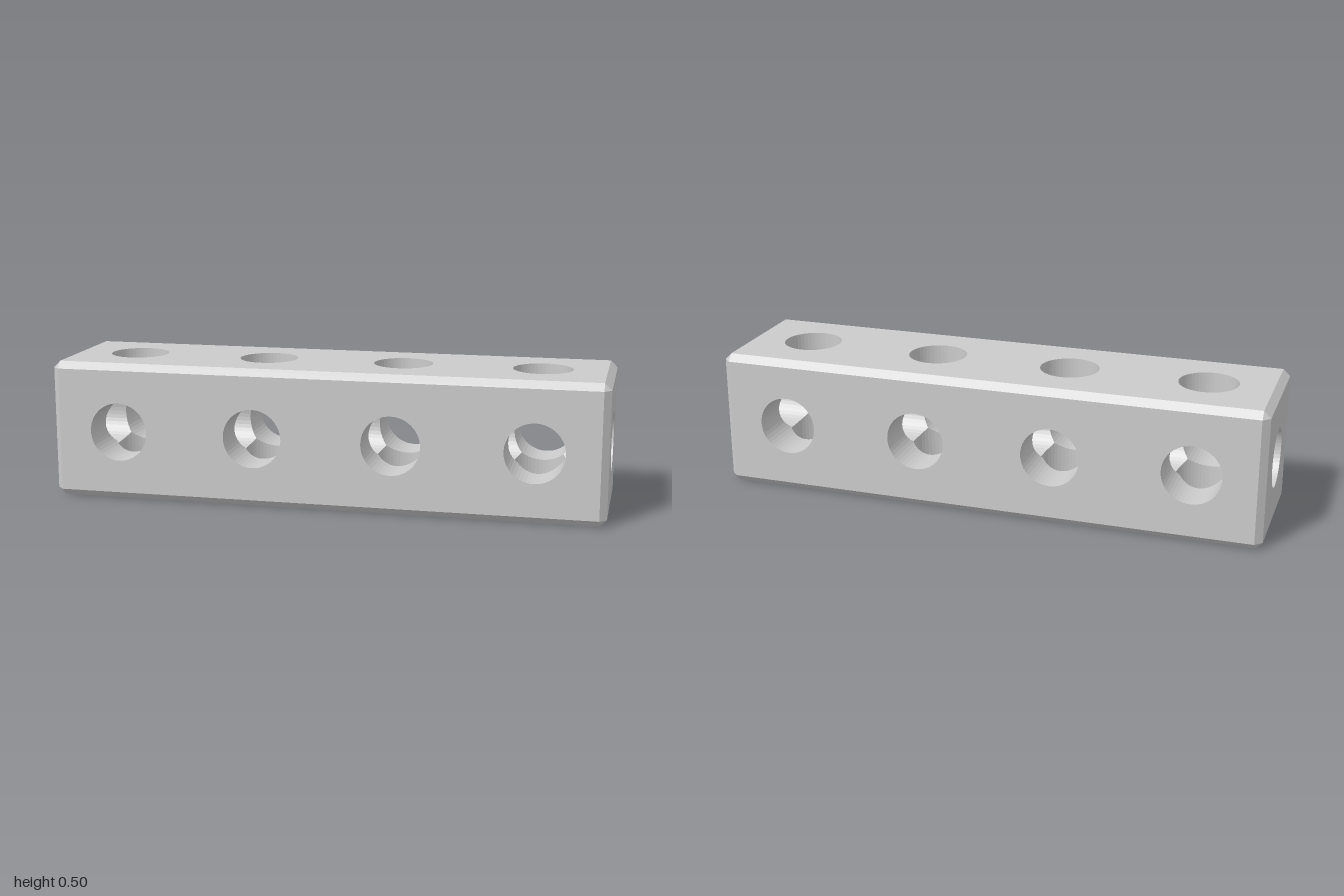
import * as THREE from 'three';
import { mergeGeometries } from 'three/addons/utils/BufferGeometryUtils.js';

const HALF = [1, 0.25, 0.25]; // half length, height and depth
const CHAMFER = 0.025;
const BORE = 0.106;
const SIDES = 48;
const NODES = [-0.75, -0.25, 0.25, 0.75]; // where the cross bores meet the long bore
const inner = HALF.map((h) => h - CHAMFER);

const material = new THREE.MeshStandardMaterial({ color: 0xcccccc, flatShading: true });

function ring(cx = 0) {
  return Array.from({ length: SIDES }, (_, i) => {
    const a = (i / SIDES) * Math.PI * 2;
    return new THREE.Vector2(cx + BORE * Math.cos(a), BORE * Math.sin(a));
  });
}

function fromPositions(positions) {
  const geo = new THREE.BufferGeometry();
  geo.setAttribute('position', new THREE.Float32BufferAttribute(positions, 3));
  geo.computeVertexNormals();
  return geo;
}

// Flat rectangular face with round openings, facing +z at the given distance
function panel(halfW, halfH, centres, distance) {
  const shape = new THREE.Shape([
    new THREE.Vector2(-halfW, -halfH), new THREE.Vector2(halfW, -halfH),
    new THREE.Vector2(halfW, halfH), new THREE.Vector2(-halfW, halfH),
  ]);
  for (const c of centres) shape.holes.push(new THREE.Path(ring(c)));
  return new THREE.ShapeGeometry(shape).translate(0, 0, distance);
}

// Inward-facing bore wall along z; trim ends follow the crossing bores
function boreWall(start, end, trimStart, trimEnd) {
  const pts = ring();
  const positions = [];
  const at = (p, z, trim) => [p.x, p.y, z + trim * Math.max(Math.abs(p.x), Math.abs(p.y))];
  pts.forEach((p, i) => {
    const q = pts[(i + 1) % SIDES];
    const a = at(p, start, trimStart), b = at(q, start, trimStart);
    const c = at(q, end, trimEnd), d = at(p, end, trimEnd);
    positions.push(...a, ...c, ...b, ...a, ...d, ...c);
  });
  return fromPositions(positions);
}

// Bevel strips on the twelve edges and triangles on the eight corners
function chamfers() {
  const positions = [];
  const tri = (a, b, c) => {
    const n = b.clone().sub(a).cross(c.clone().sub(a));
    const order = n.dot(a) > 0 ? [a, b, c] : [a, c, b];
    order.forEach((v) => positions.push(...v.toArray()));
  };
  // Corner point lying on the face across the given axis
  const point = (signs, axis) => new THREE.Vector3(
    ...signs.map((s, k) => s * (k === axis ? HALF[k] : inner[k])));
  const S = [-1, 1];
  for (const sx of S) for (const sy of S) for (const sz of S) {
    const signs = [sx, sy, sz];
    tri(point(signs, 0), point(signs, 1), point(signs, 2));
  }
  for (let axis = 0; axis < 3; axis++) {
    const u = (axis + 1) % 3, v = (axis + 2) % 3;
    for (const su of S) for (const sv of S) {
      const low = [0, 0, 0];
      low[axis] = -1; low[u] = su; low[v] = sv;
      const high = low.slice();
      high[axis] = 1;
      const a = point(low, u), b = point(high, u), c = point(high, v), d = point(low, v);
      tri(a, b, c);
      tri(a, c, d);
    }
  }
  return fromPositions(positions);
}

export function createModel() {
  const model = new THREE.Group();
  model.name = 'drilledBeam';
  const add = (geo, name) => {
    const mesh = new THREE.Mesh(geo, material);
    mesh.name = name;
    mesh.position.y = HALF[1];
    model.add(mesh);
    return mesh;
  };

  // Four long faces, each with its row of cross bores
  ['front', 'top', 'back', 'bottom'].forEach((name, i) => {
    const turn = -i * Math.PI / 2;
    add(panel(inner[0], inner[1], NODES, HALF[2]).rotateX(turn), name + 'Face');
    const walls = NODES.map((x) => boreWall(0, HALF[2], 1, 0).translate(x, 0, 0));
    add(mergeGeometries(walls).rotateX(turn), name + 'Bores');
  });

  // Square end faces
  for (const [name, s] of [['left', 1], ['right', -1]]) {
    add(panel(inner[2], inner[1], [0], HALF[0]).rotateY(s * Math.PI / 2), name + 'EndFace');
  }

  // Long bore, broken at every crossing
  const stops = [-HALF[0], ...NODES, HALF[0]];
  const sections = stops.slice(1).map((end, i) =>
    boreWall(stops[i], end, i === 0 ? 0 : 1, i === NODES.length ? 0 : -1));
  add(mergeGeometries(sections).rotateY(Math.PI / 2), 'longBore');

  add(chamfers(), 'chamferedEdges');
  return model;
}
